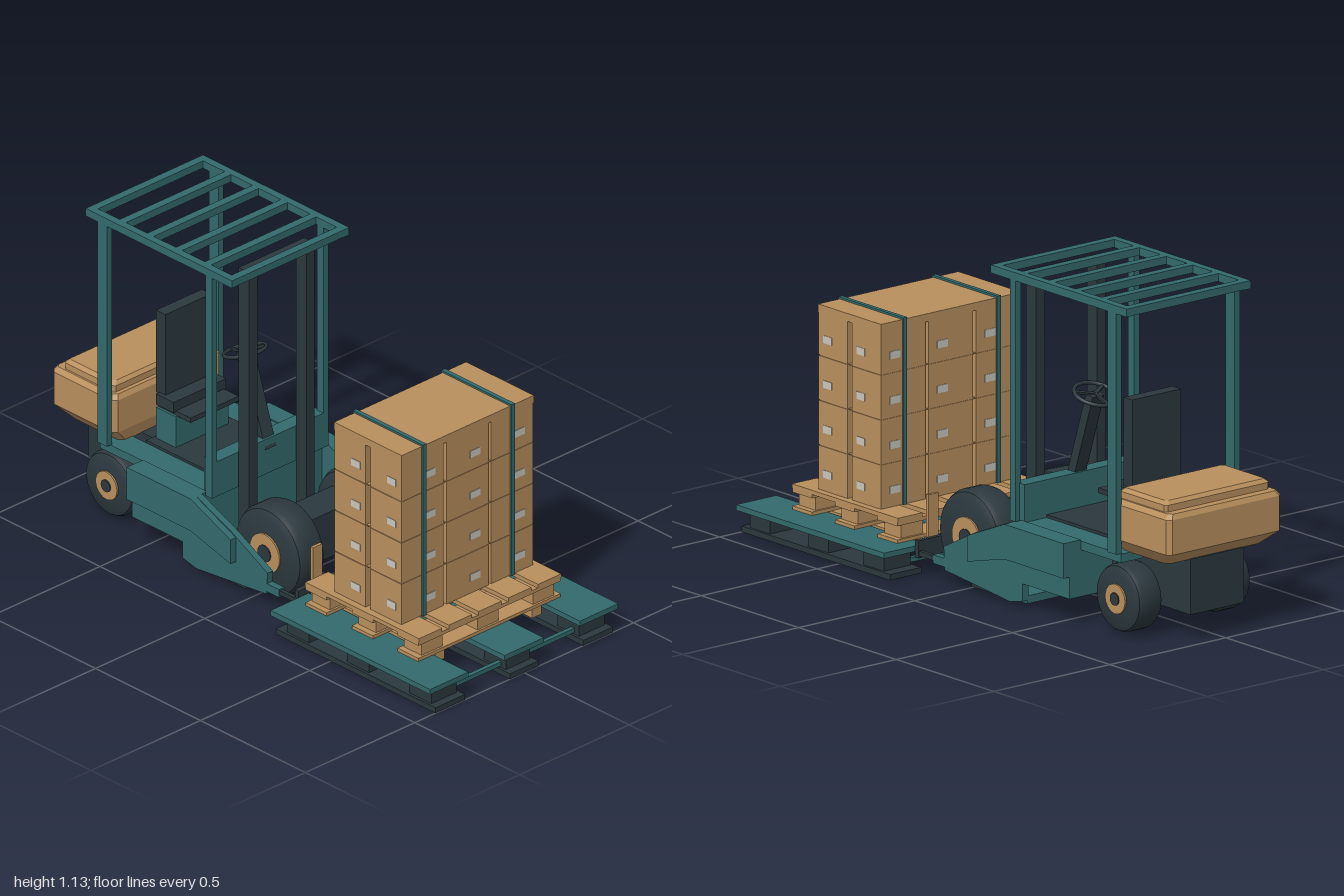
import * as THREE from 'three';
import { toCreasedNormals } from 'three/addons/utils/BufferGeometryUtils.js';
import { ConvexGeometry } from 'three/addons/geometries/ConvexGeometry.js';

const makeMat = (name, color) => {
  const m = new THREE.MeshStandardMaterial({ color });
  m.name = name;
  return m;
};

export function createModel() {
  const teal = makeMat('teal paint', 0x336a6c);
  const dark = makeMat('dark slate', 0x2b383e);
  const tan = makeMat('tan', 0xb98f5d);
  const pale = makeMat('pale label', 0xcac7be);
  const root = new THREE.Group();
  root.name = 'forkliftWithLoad';

  const group = (name) => {
    const g = new THREE.Group();
    g.name = name;
    root.add(g);
    return g;
  };
  const add = (parent, name, geo, mat) => {
    const m = new THREE.Mesh(geo, mat);
    m.name = name;
    parent.add(m);
    return m;
  };
  // Box from its limits on each axis
  const box = (parent, name, mat, x0, x1, y0, y1, z0, z1) => {
    const m = add(parent, name, new THREE.BoxGeometry(x1 - x0, y1 - y0, z1 - z0), mat);
    m.position.set((x0 + x1) / 2, (y0 + y1) / 2, (z0 + z1) / 2);
    return m;
  };
  // Same box on both sides
  const pair = (parent, name, mat, x0, x1, ...rest) => {
    box(parent, name, mat, x0, x1, ...rest);
    box(parent, name, mat, -x1, -x0, ...rest);
  };
  // Side profile of [z, y] points, extruded along x on both sides
  const sidePlates = (parent, name, mat, x0, x1, pts) => {
    const shape = new THREE.Shape(pts.map(([z, y]) => new THREE.Vector2(z, y)));
    for (const end of [x1, -x0]) {
      const geo = new THREE.ExtrudeGeometry(shape, { depth: x1 - x0, bevelEnabled: false });
      geo.rotateY(-Math.PI / 2).translate(end, 0, 0);
      add(parent, name, geo, mat);
    }
  };

  // Hull
  const hull = group('hull');
  box(hull, 'bodyShell', teal, -0.25, 0.25, 0.09, 0.28, -0.555, -0.25);
  box(hull, 'floorPanel', dark, -0.155, 0.155, 0.27, 0.29, -0.64, -0.265);
  pair(hull, 'sideTank', teal, 0.25, 0.325, 0.165, 0.285, -0.555, -0.25);
  pair(hull, 'lowerSide', teal, 0.25, 0.3, 0.09, 0.165, -0.555, -0.25);
  sidePlates(hull, 'frontSidePlate', teal, 0.275, 0.3, [
    [-0.315, 0.285], [-0.315, 0.03], [-0.25, 0.015], [0.085, 0.05], [0.09, 0.13], [-0.075, 0.215], [-0.245, 0.285],
  ]);
  sidePlates(hull, 'outerFender', teal, 0.3, 0.325, [
    [-0.25, 0.285], [-0.25, 0.165], [-0.06, 0.115], [-0.06, 0.205],
  ]);
  box(hull, 'bellyPlate', teal, -0.28, 0.28, 0.018, 0.045, -0.315, -0.16);
  box(hull, 'mastFoot', dark, -0.28, 0.28, 0.015, 0.04, -0.16, -0.03);
  box(hull, 'axleHousing', dark, -0.12, 0.12, 0.08, 0.25, -0.04, 0.085);
  box(hull, 'dashboard', teal, -0.25, 0.25, 0.28, 0.41, -0.265, -0.21);
  box(hull, 'rearChassis', dark, -0.115, 0.115, 0.09, 0.28, -0.955, -0.555);
  pair(hull, 'rearFrame', teal, 0.155, 0.25, 0.25, 0.28, -0.76, -0.555);

  // Wheels: rounded tyre, tan hub ring and dark cap
  const wheels = group('wheels');
  const wheel = (name, side, inner, width, y, z, r) => {
    const w = new THREE.Group();
    w.name = name;
    const h = width / 2, b = r * 0.14;
    const profile = [
      [0, -h], [r * 0.8, -h], [r - b * 0.4, -h + b * 0.5], [r, -h + b * 1.4],
      [r, h - b * 1.4], [r - b * 0.4, h - b * 0.5], [r * 0.8, h], [0, h],
    ].map(([a, c]) => new THREE.Vector2(a, c));
    add(w, 'tyre', toCreasedNormals(new THREE.LatheGeometry(profile, 36), 0.5), dark);
    add(w, 'hub', new THREE.CylinderGeometry(r * 0.44, r * 0.44, 0.008, 24), tan).position.y = h + 0.002;
    add(w, 'hubCap', new THREE.CylinderGeometry(r * 0.19, r * 0.19, 0.008, 16), dark).position.y = h + 0.006;
    w.rotation.z = -side * Math.PI / 2;
    w.position.set(side * (inner + h), y, z);
    wheels.add(w);
  };
  for (const s of [-1, 1]) {
    wheel('frontWheel', s, 0.12, 0.13, 0.165, 0.03, 0.16);
    wheel('rearWheel', s, 0.135, 0.11, 0.12, -0.73, 0.116);
  }
  const axle = add(wheels, 'rearAxle', new THREE.CylinderGeometry(0.025, 0.025, 0.3, 16), dark);
  axle.rotation.z = Math.PI / 2;
  axle.position.set(0, 0.12, -0.73);

  // Counterweight with tapered underside
  const weight = group('counterweight');
  const ring = (hx, z0, z1, y, c) => [
    [hx - c, z0], [hx, z0 + c], [hx, z1 - c], [hx - c, z1],
  ].flatMap(([x, z]) => [new THREE.Vector3(x, y, z), new THREE.Vector3(-x, y, z)]);
  add(weight, 'weightBody', new ConvexGeometry([
    ...ring(0.232, -0.99, -0.705, 0.462, 0.012), ...ring(0.246, -1, -0.695, 0.445, 0.015),
    ...ring(0.246, -1, -0.695, 0.325, 0.015), ...ring(0.205, -0.945, -0.705, 0.277, 0.02),
  ]), tan);
  add(weight, 'weightLid', new ConvexGeometry([
    ...ring(0.225, -0.96, -0.72, 0.46, 0.01), ...ring(0.225, -0.96, -0.72, 0.485, 0.01),
    ...ring(0.212, -0.947, -0.732, 0.497, 0.01),
  ]), tan);

  // Seat
  const seat = group('seat');
  box(seat, 'seatPlinth', teal, -0.12, 0.12, 0.28, 0.405, -0.63, -0.535);
  box(seat, 'seatPan', dark, -0.11, 0.11, 0.402, 0.42, -0.63, -0.475);
  box(seat, 'cushion', dark, -0.12, 0.12, 0.415, 0.455, -0.63, -0.545);
  box(seat, 'backrest', dark, -0.105, 0.105, 0.45, 0.757, -0.645, -0.6);

  // Steering column and wheel
  const steering = group('steering');
  steering.position.set(0, 0.69, -0.33);
  steering.rotation.x = -0.32;
  const column = add(steering, 'column', new THREE.BoxGeometry(0.05, 0.34, 0.035), dark);
  column.position.y = -0.17;
  const rim = add(steering, 'rim', new THREE.TorusGeometry(0.072, 0.007, 8, 32), dark);
  rim.rotation.x = Math.PI / 2;
  for (let i = 0; i < 3; i++) {
    const a = Math.PI / 2 + i * Math.PI * 2 / 3;
    const spoke = add(steering, 'spoke', new THREE.BoxGeometry(0.07, 0.008, 0.012), dark);
    spoke.position.set(0.036 * Math.cos(a), 0, -0.036 * Math.sin(a));
    spoke.rotation.y = a;
  }

  // Mast and overhead guard
  const mast = group('mast');
  pair(mast, 'mastRail', dark, 0.112, 0.15, 0.03, 1.09, -0.205, -0.155);
  box(mast, 'mastHead', dark, -0.15, 0.15, 1.085, 1.105, -0.205, -0.155);
  const guard = group('overheadGuard');
  pair(guard, 'frontPost', teal, 0.243, 0.267, 0.28, 1.11, -0.24, -0.21);
  pair(guard, 'rearPost', teal, 0.243, 0.267, 0.28, 1.11, -0.755, -0.71);
  pair(guard, 'roofRail', teal, 0.24, 0.268, 1.107, 1.135, -0.81, -0.113);
  for (const z of [-0.795, -0.662, -0.53, -0.394, -0.256, -0.128])
    box(guard, 'roofSlat', teal, -0.268, 0.268, 1.108, 1.135, z - 0.015, z + 0.015);

  // Fork carriage
  const forks = group('forks');
  pair(forks, 'reachArm', dark, 0.282, 0.297, 0.068, 0.085, 0.08, 0.23);
  pair(forks, 'armSocket', teal, 0.275, 0.3, 0.06, 0.09, 0.07, 0.145);
  box(forks, 'carriageBar', dark, -0.3, 0.3, 0.06, 0.12, 0.22, 0.238);
  pair(forks, 'forkBlade', tan, 0.2, 0.243, 0.063, 0.1, 0.238, 0.83);
  pair(forks, 'forkUpright', tan, 0.2, 0.243, 0.063, 0.265, 0.235, 0.247);

  // Base pallet with teal boards on dark runners
  const base = group('basePallet');
  for (const [d0, d1, b0, b1] of [[-0.43, -0.255, -0.395, -0.28], [-0.09, 0.09, -0.055, 0.055], [0.255, 0.43, 0.28, 0.395]]) {
    box(base, 'deckBoard', teal, d0, d1, 0.079, 0.098, 0.24, 1);
    box(base, 'runner', dark, b0 - 0.01, b1 + 0.01, 0, 0.02, 0.24, 1);
    for (const z of [0.335, 0.62, 0.918])
      box(base, 'spacer', dark, b0, b1, 0.02, 0.079, z - 0.052, z + 0.052);
  }
  for (const z of [0.3, 0.94])
    box(base, 'tieBar', teal, -0.29, 0.29, 0.026, 0.042, z - 0.008, z + 0.008);

  // Load pallet
  const pallet = group('loadPallet');
  for (const z of [0.348, 0.568, 0.785]) {
    box(pallet, 'bottomBoard', tan, -0.325, 0.325, 0.099, 0.111, z - 0.05, z + 0.05);
    box(pallet, 'crossBoard', tan, -0.325, 0.325, 0.158, 0.171, z - 0.05, z + 0.05);
    for (const x of [-0.255, 0, 0.255])
      box(pallet, 'block', tan, x - 0.048, x + 0.048, 0.111, 0.158, z - 0.042, z + 0.042);
  }
  for (let i = -2; i <= 2; i++)
    box(pallet, 'topBoard', tan, i * 0.136 - 0.053, i * 0.136 + 0.053, 0.171, 0.186, 0.295, 0.838);

  // Stacked cartons with labels on the outer faces
  const load = group('cartons');
  for (let row = 0; row < 4; row++) {
    const y = 0.187 + row * 0.154, top = row === 3 ? 0.795 : y + 0.151;
    for (const x of [-0.205, 0, 0.205]) {
      for (const z of [0.655, 0.485]) {
        box(load, 'carton', tan, x - 0.096, x + 0.096, y, top, z - 0.074, z + 0.074);
        const face = z > 0.6 ? z + 0.074 : z - 0.074;
        box(load, 'label', pale, x + 0.012, x + 0.058, y + 0.045, y + 0.071, face - 0.002, face + 0.002);
        if (x !== 0) {
          const fx = x + Math.sign(x) * 0.096;
          box(load, 'label', pale, fx - 0.002, fx + 0.002, y + 0.045, y + 0.071, z + 0.007, z + 0.049);
        }
      }
    }
    if (row < 3) box(load, 'seam', tan, -0.298, 0.298, top, top + 0.003, 0.413, 0.727);
  }
  box(load, 'topSheet', tan, -0.302, 0.302, 0.795, 0.822, 0.409, 0.731);

  // Straps around the load
  const straps = group('straps');
  for (const x of [-0.202, 0.202]) {
    box(straps, 'strapTop', teal, x - 0.008, x + 0.008, 0.822, 0.829, 0.403, 0.737);
    box(straps, 'strapFront', teal, x - 0.008, x + 0.008, 0.187, 0.825, 0.731, 0.737);
    box(straps, 'strapBack', teal, x - 0.008, x + 0.008, 0.187, 0.825, 0.403, 0.409);
  }
  return root;
}
